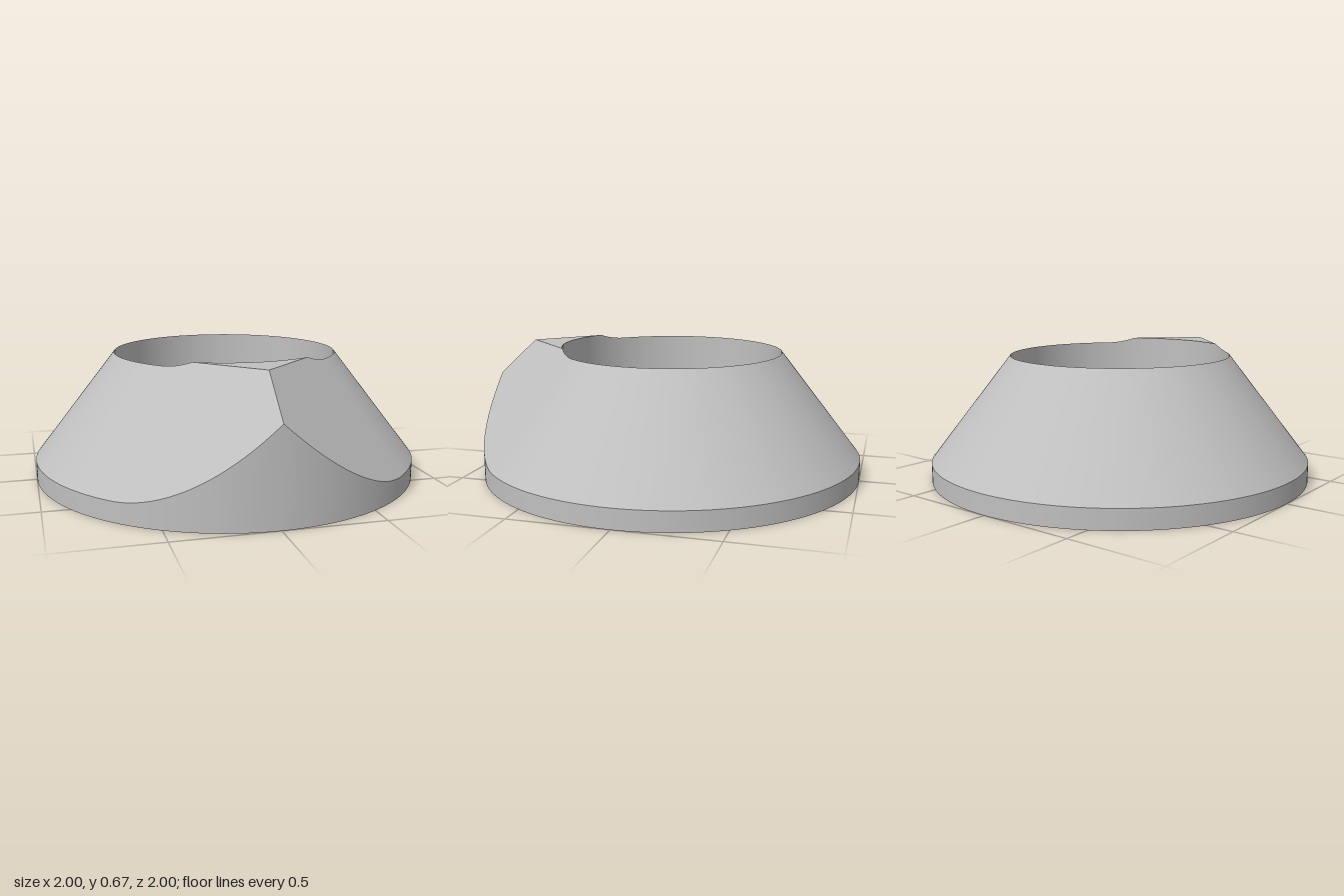
import * as THREE from 'three';
import { toCreasedNormals } from 'three/addons/utils/BufferGeometryUtils.js';

const BORE = 0.58, RIM = 0.1, TOP = 0.67, SLOPE = 1.29;
const CAP_R = 1 - (TOP - RIM) / SLOPE; // cone radius at the height of the flat tip
const QUARTER = Math.PI / 4;

// The cone turns into two tangent planes that meet in a ridge at the front
const spread = (a) => (Math.abs(a) < QUARTER ? Math.cos(Math.abs(a) - QUARTER) : 1);
const height = (r, a) => Math.min(TOP, RIM + (1 - r * spread(a)) * SLOPE);
const capRadius = (a) => Math.max(BORE, CAP_R / spread(a));

// Angles around the ring, with the exact ends of the flat tip included
const capEnd = QUARTER - Math.acos(CAP_R / BORE);
const angles = [];
for (let i = -180; i <= 180; i++) {
  const snapped = Math.abs(i) === 29 ? Math.sign(i) * capEnd : (i * Math.PI) / 180;
  angles.push(snapped);
}

const at = (r, y, a) => new THREE.Vector3(r * Math.sin(a), y, r * Math.cos(a));

// Strip of faces between two closed curves, leaving out empty triangles
function strip(name, from, to, material) {
  const pos = [];
  const add = (...tri) => {
    if (new THREE.Triangle(...tri).getArea() < 1e-8) return;
    tri.forEach((p) => pos.push(p.x, p.y, p.z));
  };
  for (let i = 0; i < angles.length - 1; i++) {
    const a = angles[i], b = angles[i + 1];
    add(from(a), from(b), to(b));
    add(from(a), to(b), to(a));
  }
  const geo = new THREE.BufferGeometry();
  geo.setAttribute('position', new THREE.Float32BufferAttribute(pos, 3));
  const mesh = new THREE.Mesh(toCreasedNormals(geo, 0.4), material);
  mesh.name = name;
  return mesh;
}

export function createModel() {
  const group = new THREE.Group();
  group.name = 'pointedConeRing';
  const grey = new THREE.MeshStandardMaterial({ color: 0xc0c0c0 });
  grey.name = 'grey';

  // Profile curves, from the outer foot over the top and down the bore
  const outerFoot = (a) => at(1, 0, a);
  const outerEdge = (a) => at(1, height(1, a), a);
  const capEdge = (a) => at(capRadius(a), height(capRadius(a), a), a);
  const boreEdge = (a) => at(BORE, height(BORE, a), a);
  const boreFoot = (a) => at(BORE, 0, a);

  group.add(
    strip('outerWall', outerFoot, outerEdge, grey),
    strip('slopedSide', outerEdge, capEdge, grey),
    strip('flatTip', capEdge, boreEdge, grey),
    strip('bore', boreEdge, boreFoot, grey),
    strip('base', boreFoot, outerFoot, grey),
  );
  return group;
}
